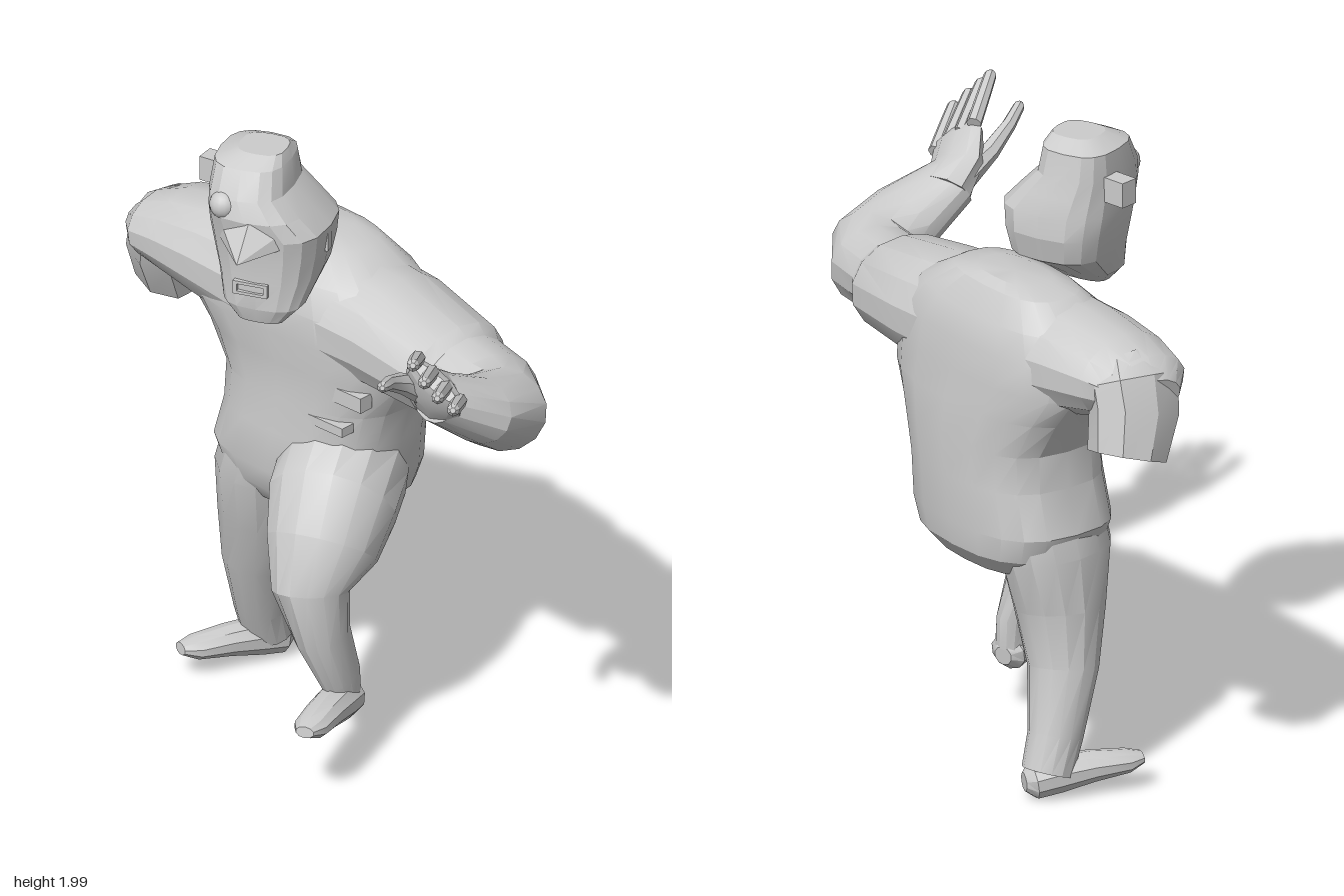
import * as THREE from 'three';
import { toCreasedNormals } from 'three/addons/utils/BufferGeometryUtils.js';
import { ConvexGeometry } from 'three/addons/geometries/ConvexGeometry.js';

const material = new THREE.MeshStandardMaterial({ color: 0xcccccc, side: THREE.DoubleSide });
const V = (x, y, z) => new THREE.Vector3(x, y, z);
const YAW = 0.39; // the body is turned towards its right
const ACROSS = V(Math.cos(YAW), 0, Math.sin(YAW));

// Closed skin through rings [x, y, z, a, b]; a runs along ref, b at right angles to it.
// power < 1 makes the rings boxy, dir fixes the ring axis.
function loft(rings, ref, { sides = 14, power = 1, dir = null, crease = 0.45 } = {}) {
  const pos = [], index = [];
  const centres = rings.map(r => V(r[0], r[1], r[2]));
  const soft = v => Math.sign(v) * Math.pow(Math.abs(v), power);
  rings.forEach((r, i) => {
    const t = dir ? dir.clone()
      : centres[Math.min(i + 1, rings.length - 1)].clone().sub(centres[Math.max(i - 1, 0)]).normalize();
    const n = ref.clone().addScaledVector(t, -t.dot(ref)).normalize();
    const m = t.clone().cross(n);
    for (let j = 0; j < sides; j++) {
      const f = (j / sides) * Math.PI * 2;
      const p = centres[i].clone()
        .addScaledVector(n, r[3] * soft(Math.cos(f)))
        .addScaledVector(m, r[4] * soft(Math.sin(f)));
      pos.push(p.x, p.y, p.z);
    }
  });
  const last = rings.length - 1, c0 = rings.length * sides, c1 = c0 + 1;
  for (const c of [centres[0], centres[last]]) pos.push(c.x, c.y, c.z);
  for (let j = 0; j < sides; j++) {
    const k = (j + 1) % sides;
    for (let i = 0; i < last; i++) {
      const a = i * sides + j, b = i * sides + k;
      index.push(a, b, b + sides, a, b + sides, a + sides);
    }
    index.push(c0, k, j, c1, last * sides + j, last * sides + k);
  }
  const g = new THREE.BufferGeometry();
  g.setAttribute('position', new THREE.Float32BufferAttribute(pos, 3));
  g.setIndex(index);
  return toCreasedNormals(g, crease);
}

export function createModel() {
  const model = new THREE.Group();
  const X = V(1, 0, 0), Y = V(0, 1, 0);
  const add = (name, geometry, parent = model) => {
    const mesh = new THREE.Mesh(geometry, material);
    mesh.name = name;
    parent.add(mesh);
    return mesh;
  };
  const box = (name, size, at, yaw = 0, parent = model) => {
    const b = add(name, new THREE.BoxGeometry(...size), parent);
    b.position.set(...at);
    b.rotation.y = yaw;
    return b;
  };

  // Trunk, from crotch to collar
  add('torso', loft([
    [-0.13, 0.68, -0.32, 0.12, 0.10],
    [-0.12, 0.72, -0.33, 0.24, 0.18],
    [-0.115, 0.78, -0.33, 0.30, 0.225],
    [-0.115, 0.86, -0.325, 0.33, 0.24],
    [-0.09, 1.00, -0.315, 0.315, 0.235],
    [-0.075, 1.12, -0.315, 0.33, 0.23],
    [-0.08, 1.24, -0.31, 0.40, 0.225],
    [-0.11, 1.34, -0.31, 0.45, 0.225],
    [-0.12, 1.44, -0.31, 0.45, 0.22],
    [-0.13, 1.53, -0.32, 0.37, 0.19],
    [-0.14, 1.61, -0.34, 0.24, 0.125],
    [-0.14, 1.63, -0.35, 0.14, 0.08],
  ], ACROSS, { sides: 20, dir: Y, power: 0.74 }));

  // Shoulder yoke running on into the bent left arm
  add('shouldersAndLeftArm', loft([
    [-0.74, 1.41, -0.53, 0.06, 0.09],
    [-0.69, 1.425, -0.50, 0.10, 0.15],
    [-0.60, 1.435, -0.475, 0.13, 0.18],
    [-0.45, 1.43, -0.425, 0.165, 0.20],
    [-0.15, 1.40, -0.32, 0.21, 0.22],
    [0.20, 1.385, -0.175, 0.18, 0.21],
    [0.43, 1.36, -0.05, 0.15, 0.19],
    [0.47, 1.36, -0.03, 0.125, 0.155],
    [0.58, 1.35, 0.04, 0.13, 0.15],
    [0.65, 1.36, 0.14, 0.13, 0.14],
    [0.62, 1.42, 0.27, 0.10, 0.14],
    [0.535, 1.51, 0.40, 0.075, 0.10],
  ], Y));

  // Empty right sleeve, cut off at a slant
  add('rightSleeve', loft([
    [-0.61, 1.50, -0.49, 0.07, 0.08],
    [-0.65, 1.44, -0.505, 0.115, 0.145],
    [-0.67, 1.35, -0.53, 0.118, 0.14],
    [-0.675, 1.22, -0.58, 0.115, 0.115],
  ], ACROSS, { sides: 8, power: 0.85 }));

  // Open left hand
  const hand = new THREE.Group();
  hand.name = 'leftHand';
  model.add(hand);
  const spread = V(0.75, -0.65, 0);
  add('palm', loft([
    [0.54, 1.49, 0.36, 0.095, 0.08],
    [0.54, 1.55, 0.43, 0.11, 0.06],
    [0.57, 1.61, 0.49, 0.105, 0.04],
    [0.577, 1.625, 0.51, 0.085, 0.022],
  ], spread, { sides: 10 }), hand);
  for (let i = 0; i < 4; i++) {
    const base = V(0.505 + i * 0.045, 1.675 - i * 0.04, 0.47);
    const tip = V(0.565 + i * 0.043, 1.762 - i * 0.043, i % 3 ? 0.69 : 0.67);
    const rings = [[0, 0.024], [0.6, 0.022], [0.93, 0.02], [1, 0.009]].map(([t, r]) =>
      [...base.clone().lerp(tip, t).toArray(), r, r]);
    add('finger', loft(rings, spread, { sides: 7 }), hand);
  }
  add('thumb', loft([
    [0.50, 1.53, 0.40, 0.055, 0.045],
    [0.46, 1.59, 0.49, 0.035, 0.03],
    [0.455, 1.64, 0.59, 0.022, 0.022],
    [0.468, 1.67, 0.67, 0.018, 0.018],
    [0.472, 1.675, 0.685, 0.008, 0.008],
  ], spread, { sides: 7 }), hand);

  // Legs: the left is lifted forward, the right stands behind
  add('leftLeg', loft([
    [0.00, 0.90, -0.34, 0.17, 0.17],
    [0.015, 0.87, -0.20, 0.20, 0.215],
    [0.025, 0.81, -0.07, 0.20, 0.20],
    [0.03, 0.71, 0.03, 0.175, 0.165],
    [0.02, 0.60, 0.10, 0.12, 0.115],
    [0.055, 0.45, 0.092, 0.085, 0.095],
    [0.095, 0.30, 0.05, 0.058, 0.085],
    [0.10, 0.21, 0.03, 0.052, 0.06],
  ], X));
  add('rightLeg', loft([
    [-0.26, 0.90, -0.36, 0.15, 0.20],
    [-0.295, 0.76, -0.365, 0.155, 0.20],
    [-0.31, 0.58, -0.37, 0.14, 0.14],
    [-0.34, 0.40, -0.40, 0.11, 0.105],
    [-0.35, 0.20, -0.46, 0.085, 0.085],
    [-0.345, 0.09, -0.50, 0.08, 0.075],
  ], X));
  // Shoes taper from a deep heel to a flat toe: [along, width, height, rise]
  const foot = (name, heel, toe) => {
    const rings = [[-0.17, 0.03, 0.03, 0.01], [-0.08, 0.06, 0.058, 0.008], [0.15, 0.065, 0.06, 0.012],
      [0.5, 0.06, 0.048, 0.01], [0.85, 0.054, 0.035, 0], [1, 0.03, 0.018, 0]].map(([t, w, h, up]) => {
      const p = heel.clone().lerp(toe, t);
      return [p.x, p.y + up, p.z, h, w];
    });
    add(name, loft(rings, Y, { sides: 10 }));
  };
  foot('leftFoot', V(0.10, 0.2, 0.03), V(0.095, 0.25, 0.35));
  foot('rightFoot', V(-0.33, 0.06, -0.51), V(-0.54, 0.10, -0.27));

  // Front pocket rim and chest flap, lying close to the cloth
  box('pocketTop', [0.28, 0.03, 0.05], [-0.04, 1.09, -0.085], -YAW);
  box('pocketSide', [0.025, 0.17, 0.05], [-0.175, 1.01, -0.14], -YAW);
  box('chestFlap', [0.20, 0.05, 0.05], [0.06, 1.20, -0.06], -YAW);

  // Head: rows of [y, x0, x1, z0, z1], high on the right and sloping on the left
  const head = new THREE.Group();
  head.name = 'head';
  model.add(head);
  const rows = [
    [1.48, -0.23, -0.08, 0.00, 0.095],
    [1.53, -0.28, -0.03, -0.08, 0.11],
    [1.62, -0.31, 0.00, -0.23, 0.11],
    [1.70, -0.33, 0.015, -0.25, 0.11],
    [1.77, -0.34, 0.025, -0.245, 0.12],
    [1.83, -0.34, -0.03, -0.23, 0.13],
    [1.89, -0.34, -0.09, -0.215, 0.11],
    [1.97, -0.335, -0.105, -0.20, 0.06],
    [2.00, -0.27, -0.12, -0.14, 0.0],
  ];
  add('skull', loft(rows.map(([y, x0, x1, z0, z1]) =>
    [(x0 + x1) / 2, y, (z0 + z1) / 2, (x1 - x0) / 2, (z1 - z0) / 2]),
  X, { sides: 16, power: 0.7, dir: Y, crease: 0.3 }), head);
  add('visor', toCreasedNormals(new ConvexGeometry([
    V(-0.30, 1.75, 0.06), V(-0.04, 1.75, 0.06), V(-0.28, 1.80, 0.08), V(-0.07, 1.80, 0.08),
    V(-0.17, 1.74, 0.23), V(-0.17, 1.72, 0.09), V(-0.17, 1.83, 0.13),
  ]), 0.4), head);
  add('capStud', new THREE.SphereGeometry(0.045, 16, 12), head).position.set(-0.265, 1.86, 0.085);
  box('rightEar', [0.1, 0.08, 0.06], [-0.36, 1.86, -0.12], -0.2, head);
  box('leftEar', [0.03, 0.07, 0.03], [0.005, 1.72, -0.06], 0, head);

  // Mouth as a thin square frame
  const corners = (w, h) => [[-w, -h], [w, -h], [w, h], [-w, h]].map(p => new THREE.Vector2(...p));
  const lips = new THREE.Shape(corners(0.055, 0.022));
  lips.holes.push(new THREE.Path(corners(0.043, 0.012)));
  add('mouth', new THREE.ExtrudeGeometry(lips, { depth: 0.02, bevelEnabled: false }), head)
    .position.set(-0.17, 1.60, 0.098);

  return model;
}
